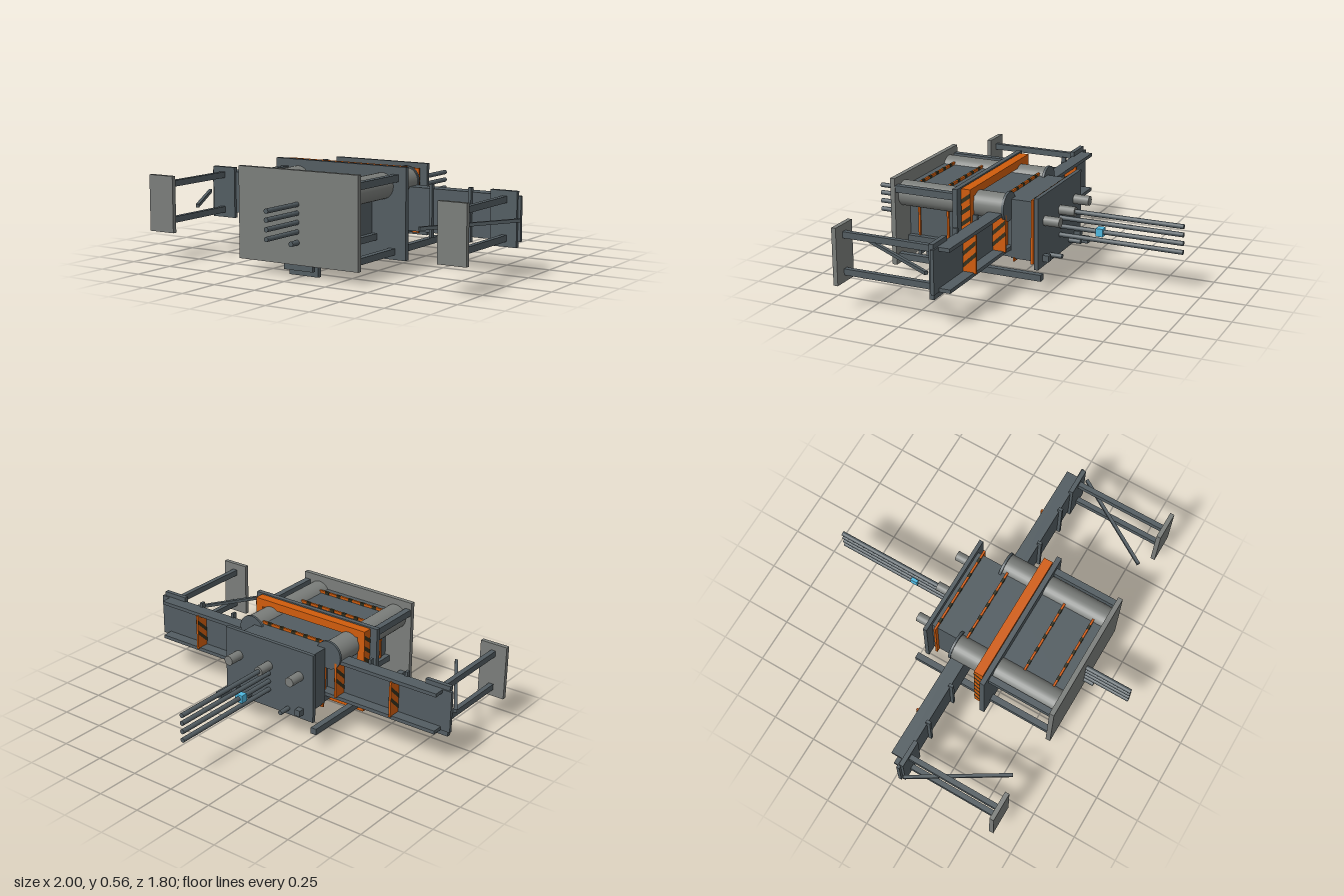
import * as THREE from 'three';

const mat = (name, color) => {
  const m = new THREE.MeshStandardMaterial({ color });
  m.name = name;
  return m;
};

export function createModel() {
  const slate = mat('slate steel', 0x525c61);
  const grey = mat('light grey steel', 0x7a7d7a);
  const orange = mat('orange', 0xd05c0c);
  const dark = mat('dark stripe', 0x35301c);
  dark.side = THREE.DoubleSide;
  const cyan = mat('cyan', 0x4fb8e0);
  const model = new THREE.Group();

  const add = (name, geo, material, parent = model) => {
    const m = new THREE.Mesh(geo, material);
    m.name = name;
    parent.add(m);
    return m;
  };
  // Box given by its lower and upper limits on each axis
  const box = (name, material, x0, x1, y0, y1, z0, z1, parent) => {
    const m = add(name, new THREE.BoxGeometry(x1 - x0, y1 - y0, z1 - z0), material, parent);
    m.position.set((x0 + x1) / 2, (y0 + y1) / 2, (z0 + z1) / 2);
    return m;
  };
  // Cylinder running along z
  const rod = (name, material, x, y, r, z0, z1, sides = 16, parent) => {
    const g = new THREE.CylinderGeometry(r, r, z1 - z0, sides).rotateX(Math.PI / 2);
    const m = add(name, g, material, parent);
    m.position.set(x, y, (z0 + z1) / 2);
    return m;
  };
  // Rectangular ring standing across z, wall thickness t
  const frame = (name, material, w, y0, y1, t, z0, z1) => {
    const s = new THREE.Shape();
    s.moveTo(-w, y0).lineTo(w, y0).lineTo(w, y1).lineTo(-w, y1).closePath();
    const h = new THREE.Path();
    h.moveTo(-w + t, y0 + t).lineTo(-w + t, y1 - t).lineTo(w - t, y1 - t).lineTo(w - t, y0 + t).closePath();
    s.holes.push(h);
    const m = add(name, new THREE.ExtrudeGeometry(s, { depth: z1 - z0, bevelEnabled: false }), material);
    m.position.z = z0;
    return m;
  };
  // Flat diagonal stripes on a face at x, rising towards the rear
  const stripes = (x, y0, y1, z0, z1, count, rise, parent) => {
    const pitch = (y1 - y0 - rise) / count;
    for (let i = 0; i < count; i++) {
      const y = y0 + pitch * (i + 0.3), h = pitch * 0.4;
      const s = new THREE.Shape();
      s.moveTo(-z1, y).lineTo(-z0, y + rise).lineTo(-z0, y + rise + h).lineTo(-z1, y + h).closePath();
      const g = new THREE.ShapeGeometry(s).rotateY(Math.PI / 2);
      add('diagonalStripe', g, dark, parent).position.x = x;
    }
  };
  // Orange hoop with dark dashes along its upper bar
  const hoop = (name, w, y0, y1, t, z) => {
    frame(name, orange, w, y0, y1, t, z - 0.006, z + 0.006);
    for (let i = -2; i <= 2; i++) {
      const x = i * w * 0.38;
      box('hoopDash', dark, x - 0.014, x + 0.014, y1 - t, y1 + 0.001, z - 0.007, z + 0.007);
    }
  };

  // Main plates and core
  box('frontPlate', grey, -0.37, 0.37, 0.065, 0.555, 0.605, 0.632);
  box('middlePlate', slate, -0.41, 0.41, 0.065, 0.555, 0.212, 0.24);
  frame('orangeFlange', orange, 0.37, 0.07, 0.55, 0.045, 0.155, 0.208);
  box('backPlate', slate, -0.295, 0.295, 0.13, 0.525, -0.2, -0.178);
  box('coreBox', slate, -0.205, 0.205, 0.165, 0.485, -0.02, 0.61);
  box('rearBox', slate, -0.24, 0.24, 0.155, 0.485, -0.18, -0.02);

  // Hoops around the core
  for (const z of [0.02, 0.37, 0.545]) hoop('coreHoop', 0.215, 0.155, 0.5, 0.014, z);
  hoop('rearHoop', 0.262, 0.145, 0.5, 0.024, -0.15);

  // Mounting foot below the front plate
  box('lowerBlock', slate, -0.09, 0.09, 0, 0.055, 0.55, 0.575);
  box('lowerLip', slate, -0.09, 0.09, 0.035, 0.065, 0.605, 0.625);

  // Bundle of long pipes
  for (const y of [0.38, 0.335, 0.287, 0.238]) rod('longPipe', slate, 0, y, 0.013, -0.9, 0.9);
  rod('shortPipe', slate, 0, 0.182, 0.014, 0.58, 0.69);
  rod('pipeSleeve', grey, 0, 0.38, 0.026, -0.29, -0.19);
  box('pipeMarker', cyan, -0.023, 0.023, 0.265, 0.309, -0.455, -0.415);

  for (const s of [1, -1]) {
    const side = new THREE.Group();
    side.name = s > 0 ? 'leftSide' : 'rightSide';
    model.add(side);
    const b = (name, material, xa, xb, ...rest) =>
      box(name, material, Math.min(s * xa, s * xb), Math.max(s * xa, s * xb), ...rest, side);

    // Large side cylinders with end discs
    rod('sideCylinder', grey, s * 0.265, 0.45, 0.07, -0.01, 0.605, 32, side);
    rod('endDisc', slate, s * 0.26, 0.45, 0.08, -0.022, -0.008, 32, side);

    // Stripes on the flange edge
    stripes(s * 0.3715, 0.07, 0.55, 0.155, 0.208, 7, 0.04, side);

    // Rails
    b('upperRail', slate, 0.33, 0.365, 0.477, 0.515, 0.24, 0.605);
    b('lowerRail', slate, 0.31, 0.345, 0.09, 0.125, -0.238, 0.605);
    b('guideRail', slate, 0.2, 0.235, 0.16, 0.195, -0.235, 0.605);
    for (const z of [-0.037, 0.475]) b('railClip', orange, 0.19, 0.245, 0.14, 0.16, z - 0.005, z + 0.005);

    // Rear stubs
    rod('rearStub', grey, s * 0.205, 0.38, 0.027, -0.29, -0.19, 20, side);
    rod('thinStub', slate, s * 0.13, 0.165, 0.013, -0.27, 0.6, 12, side);

    // Wing channel, open to the rear
    b('wingWeb', slate, 0.2, 0.985, 0.195, 0.43, 0.052, 0.07);
    b('wingTopFlange', slate, 0.2, 0.93, 0.41, 0.43, -0.01, 0.054);
    b('wingBottomFlange', slate, 0.2, 0.93, 0.195, 0.215, -0.01, 0.054);
    b('wingEndPlate', slate, 0.82, 0.97, 0.165, 0.455, 0.06, 0.085);
    for (const x of [0.47, 0.7]) b('wingFrontRib', slate, x - 0.008, x + 0.008, 0.17, 0.455, 0.062, 0.088);
    for (const x of [0.31, 0.66]) {
      b('wingBackRib', orange, x - 0.006, x + 0.006, 0.21, 0.415, -0.022, 0.054);
      for (const o of [-0.0075, 0.0075]) stripes(s * (x + o), 0.215, 0.41, -0.022, 0.052, 2, 0.07, side);
    }

    // Outrigger arms, foot and brace
    for (const y of [0.41, 0.21]) b('outriggerArm', slate, 0.886, 0.914, y - 0.017, y + 0.017, 0.08, 0.61);
    b('outriggerFoot', grey, 0.82, 0.98, 0.155, 0.465, 0.605, 0.63);
    const brace = add('diagonalBrace', new THREE.BoxGeometry(0.018, 0.018, 0.575), slate, side);
    brace.position.set(s * 0.84, 0.31, 0.335);
    brace.rotation.y = Math.atan2(-s * 0.3, 0.49);
  }
  return model;
}
